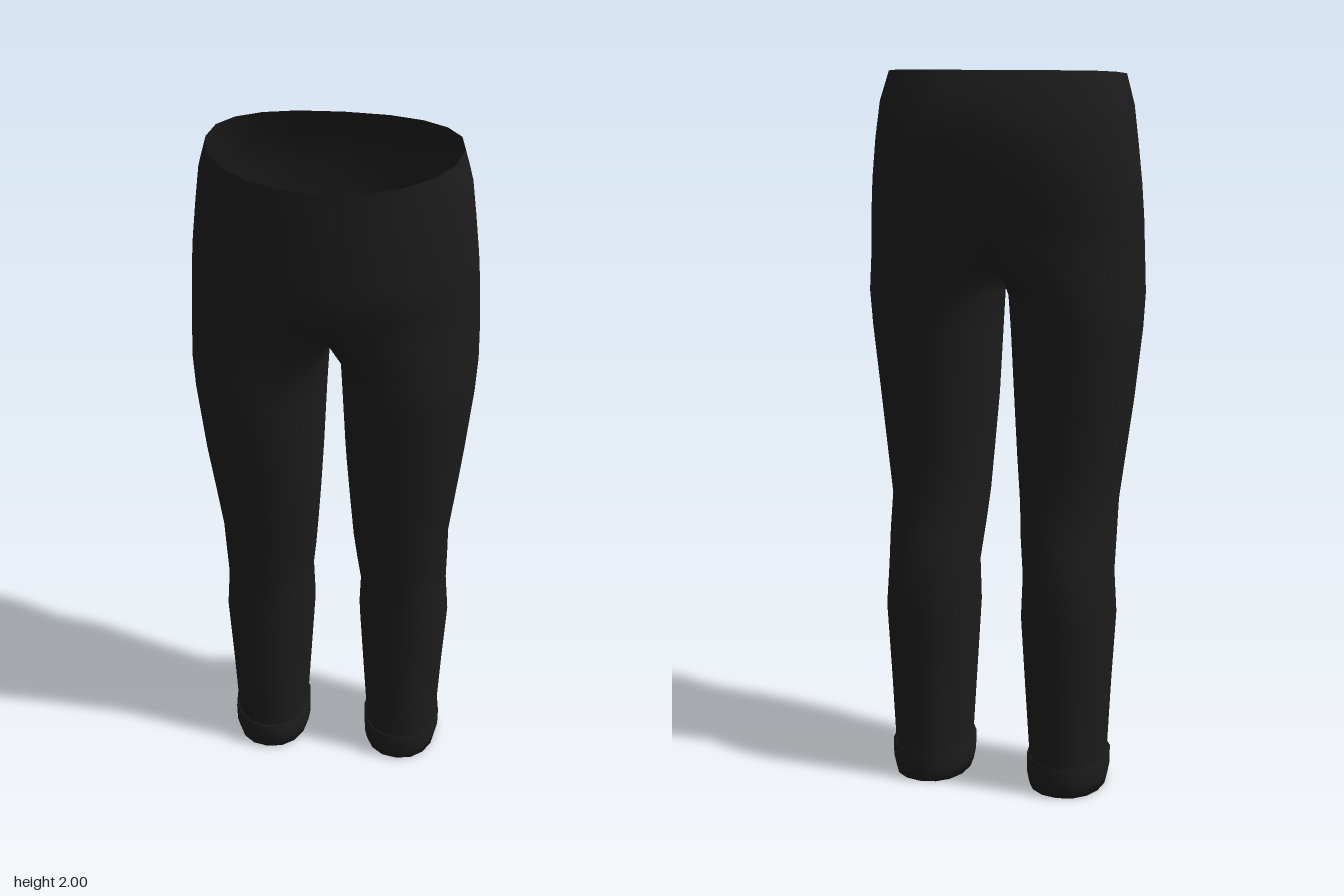
import * as THREE from 'three';
import { mergeVertices } from 'three/addons/utils/BufferGeometryUtils.js';

const OUTER = 10; // segments from front seam round the hip to the back seam
const INNER = 6;  // segments along the crotch / inside leg
const SIDES = OUTER + INNER;

const rad = THREE.MathUtils.degToRad;
const bend = (v, p) => Math.sign(v) * Math.pow(Math.abs(v), p);

// Half ring of the hips, from the front seam round +x to the back seam
function hipRing([yFront, yBack, xOut, zFront, zBack], seamLift = 0) {
  const pts = [];
  for (let j = 0; j <= OUTER; j++) {
    const a = rad(90 - (180 * j) / OUTER);
    const s = Math.sin(a);
    const p = s > 0 ? 1 : 0.85; // the seat is a little squarer than the front
    const x = j % OUTER === 0 ? 0 : xOut * bend(Math.cos(a), p);
    const z = s > 0 ? zFront * s : -zBack * bend(s, p);
    const y = yBack - (yBack - yFront) * Math.pow((1 + s) / 2, 2) + seamLift * Math.pow(s, 4);
    pts.push([x, y, z]);
  }
  return pts;
}

// Closed ring of the left leg
function legRing([y, xIn, xOut, zFront, zBack]) {
  const pts = [];
  const cx = (xIn + xOut) / 2, cz = (zFront + zBack) / 2;
  for (let j = 0; j < SIDES; j++) {
    const deg = j <= OUTER ? 112 - (224 * j) / OUTER : -112 - (136 * (j - OUTER)) / INNER;
    const a = rad(deg);
    pts.push([
      cx + ((xOut - xIn) / 2) * bend(Math.cos(a), 0.92),
      y,
      cz + ((zFront - zBack) / 2) * bend(Math.sin(a), 0.92),
    ]);
  }
  return pts;
}

// Joins rings listed from top to bottom; the shorter ring sets the number of strips
function loft(rings) {
  const pos = [], index = [], start = [];
  for (const ring of rings) {
    start.push(pos.length / 3);
    ring.forEach((p) => pos.push(...p));
  }
  for (let r = 0; r + 1 < rings.length; r++) {
    const closed = rings[r].length === SIDES;
    const strips = closed ? SIDES : OUTER;
    for (let j = 0; j < strips; j++) {
      const k = closed ? (j + 1) % SIDES : j + 1;
      const a = start[r] + j, b = start[r] + k;
      const c = start[r + 1] + j, d = start[r + 1] + k;
      index.push(a, c, b, b, c, d);
    }
  }
  return { pos, index };
}

function makeGeometry(pos, index) {
  let g = new THREE.BufferGeometry();
  g.setAttribute('position', new THREE.Float32BufferAttribute(pos, 3));
  g.setIndex(index);
  g = mergeVertices(g, 1e-4);
  g.computeVertexNormals();
  return g;
}

// Mirrored copy across x = 0 with the corner order reversed
function mirror({ pos, index }) {
  const mPos = pos.map((v, i) => (i % 3 === 0 ? -v : v));
  const mIndex = [];
  for (let i = 0; i < index.length; i += 3) mIndex.push(index[i], index[i + 2], index[i + 1]);
  return { pos: mPos, index: mIndex };
}

export function createModel() {
  const group = new THREE.Group();
  const cloth = new THREE.MeshStandardMaterial({ color: 0x1c1c1c, side: THREE.DoubleSide });
  cloth.name = 'black cloth';

  // Hips: yFront, yBack, xOut, zFront, zBack
  const hips = [
    [1.96, 2.0, 0.328, 0.25, -0.182],
    [1.88, 1.92, 0.35, 0.252, -0.228],
    [1.8, 1.82, 0.362, 0.252, -0.25],
    [1.7, 1.71, 0.374, 0.252, -0.244],
    [1.61, 1.62, 0.381, 0.248, -0.229],
  ].map((h) => hipRing(h));

  // Joint ring: hip arc plus the crotch seam from back to front
  const joint = hipRing([1.5, 1.5, 0.386, 0.215, -0.212], 0.06);
  joint.push(
    [0, 1.52, -0.165], [0, 1.48, -0.09], [0, 1.462, 0],
    [0, 1.475, 0.09], [0, 1.51, 0.165],
  );

  // Legs: y, xIn, xOut, zFront, zBack
  const legs = [
    [1.4, 0.014, 0.387, 0.19, -0.197],
    [1.3, 0.02, 0.381, 0.185, -0.188],
    [1.1, 0.03, 0.36, 0.165, -0.173],
    [0.95, 0.04, 0.342, 0.137, -0.166],
    [0.82, 0.05, 0.326, 0.118, -0.162],
    [0.72, 0.06, 0.325, 0.104, -0.193],
    [0.62, 0.072, 0.323, 0.088, -0.214],
    [0.5, 0.067, 0.332, 0.083, -0.214],
    [0.3, 0.08, 0.32, 0.077, -0.21],
    [0.06, 0.096, 0.308, 0.071, -0.205],
  ].map(legRing);

  const half = loft([...hips, joint, ...legs]);
  const other = mirror(half);
  const offset = half.pos.length / 3;
  const trousers = new THREE.Mesh(
    makeGeometry([...half.pos, ...other.pos], [...half.index, ...other.index.map((i) => i + offset)]),
    cloth,
  );
  trousers.name = 'trousers';
  group.add(trousers);

  // Turned-up cuffs, folded back inside at the hem
  const cuff = loft([
    [0.088, 0.097, 0.308, 0.071, -0.205],
    [0.09, 0.086, 0.318, 0.081, -0.212],
    [0.035, 0.087, 0.317, 0.079, -0.211],
    [0.0, 0.094, 0.309, 0.07, -0.204],
    [0.02, 0.102, 0.301, 0.066, -0.197],
  ].map(legRing));
  for (const [name, part] of [['leftCuff', cuff], ['rightCuff', mirror(cuff)]]) {
    const mesh = new THREE.Mesh(makeGeometry(part.pos, part.index), cloth);
    mesh.name = name;
    group.add(mesh);
  }
  return group;
}
